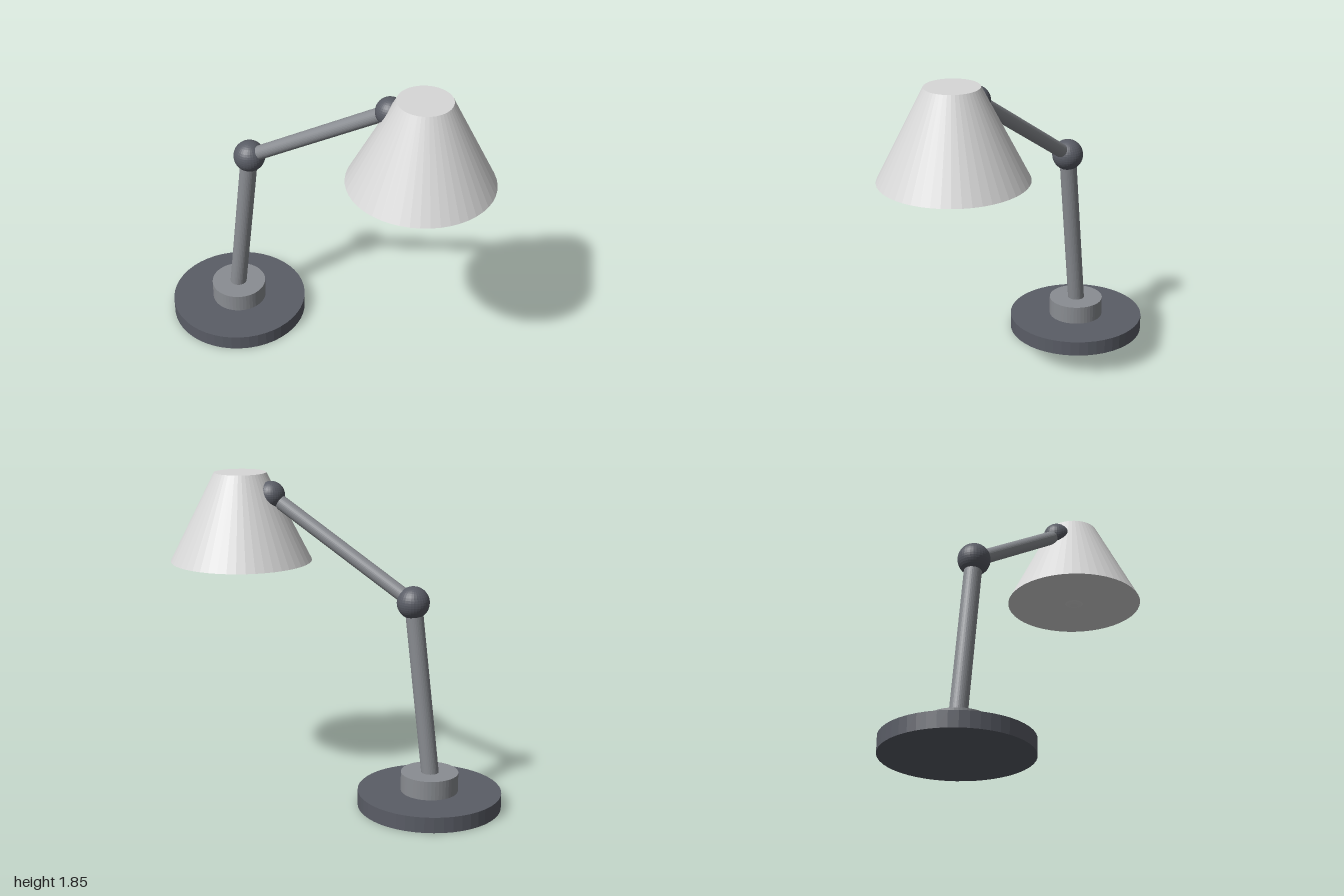
import * as THREE from 'three';

export function createModel() {
  const lamp = new THREE.Group();
  lamp.name = 'deskLamp';

  const paint = (name, color) => new THREE.MeshStandardMaterial({ name, color, flatShading: true });
  const darkMetal = paint('dark metal', 0x5a5d66);
  const greyMetal = paint('grey metal', 0x8a8d92);
  const shadeWhite = paint('shade white', 0xd8d8d8);

  const add = (name, geometry, material, x, y) => {
    const mesh = new THREE.Mesh(geometry, material);
    mesh.name = name;
    mesh.position.set(x, y, 0);
    lamp.add(mesh);
    return mesh;
  };

  // Upright disc or cone between two heights
  const disc = (name, rTop, rBottom, y0, y1, x, material) =>
    add(name, new THREE.CylinderGeometry(rTop, rBottom, y1 - y0, 48), material, x, (y0 + y1) / 2);

  const ball = (name, r, x, y, material) =>
    add(name, new THREE.SphereGeometry(r, 32, 20), material, x, y);

  // Round rod joining two points in the xy plane
  const rod = (name, r, a, b) => {
    const dir = b.clone().sub(a);
    const mid = a.clone().add(b).multiplyScalar(0.5);
    const mesh = add(name, new THREE.CylinderGeometry(r, r, dir.length(), 32), greyMetal, mid.x, mid.y);
    mesh.rotation.z = Math.atan2(dir.y, dir.x) - Math.PI / 2;
  };

  const baseX = -0.59, shadeX = 0.585;
  const foot = new THREE.Vector2(-0.598, 0.15);
  const elbow = new THREE.Vector2(-0.475, 1.18);
  const wrist = new THREE.Vector2(0.39, 1.73);

  // Base
  disc('base', 0.41, 0.41, 0, 0.09, baseX, darkMetal);
  disc('collar', 0.164, 0.164, 0.09, 0.2, baseX, greyMetal);

  // Arms and joints
  rod('lowerArm', 0.05, foot, elbow);
  ball('elbowJoint', 0.092, elbow.x, elbow.y, darkMetal);
  rod('upperArm', 0.041, elbow, wrist);
  ball('shadeJoint', 0.08, wrist.x, wrist.y, darkMetal);

  // Closed shade with the bulb just showing beneath
  disc('shade', 0.15, 0.41, 1.34, 1.85, shadeX, shadeWhite);
  ball('bulb', 0.14, shadeX, 1.468, shadeWhite);

  return lamp;
}
